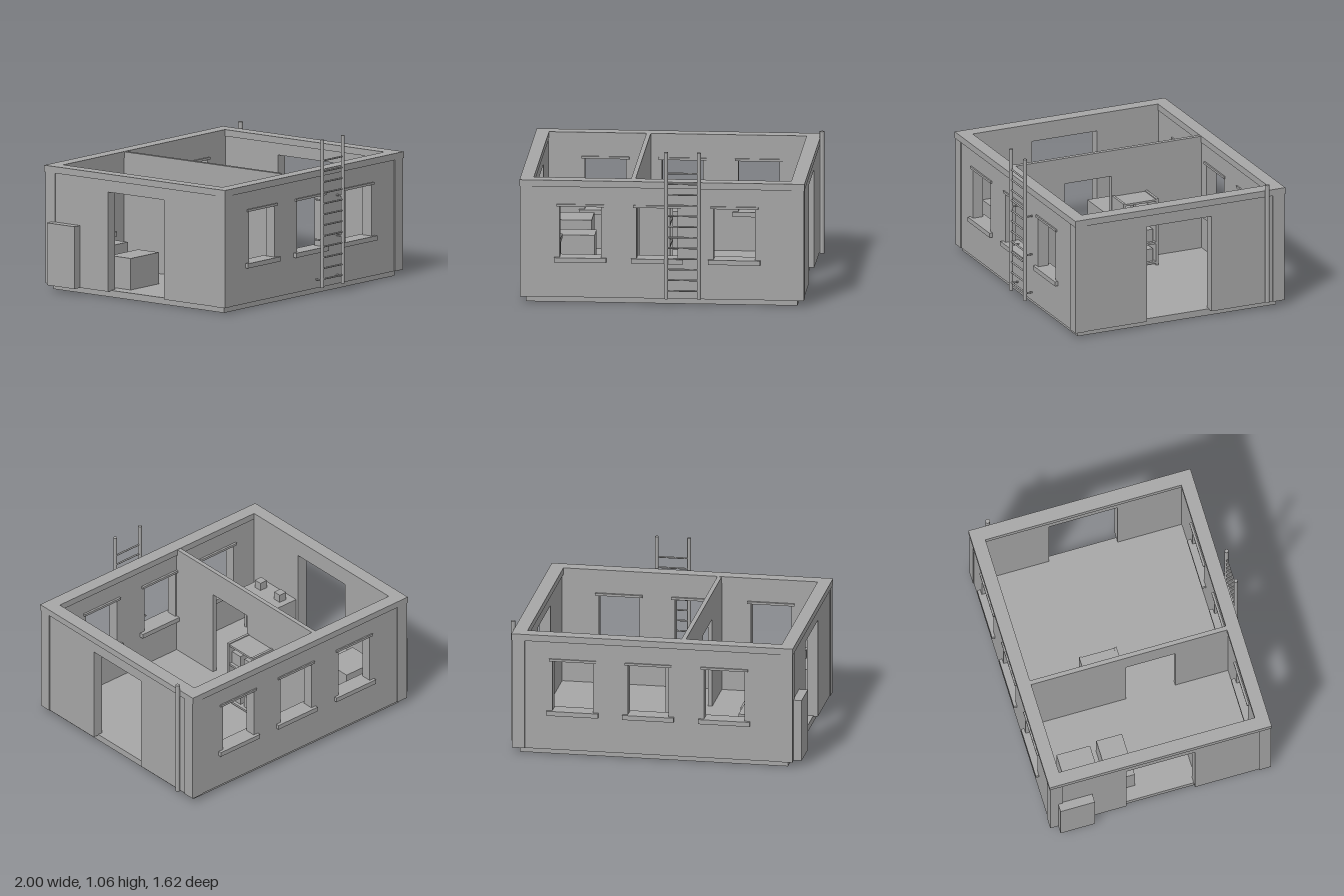
import * as THREE from 'three';

export function createModel() {
  const group = new THREE.Group();
  const grey = new THREE.MeshStandardMaterial({ color: 0xa6a6a6 });
  grey.name = 'plain grey';

  function add(name, geometry, parent = group) {
    const m = new THREE.Mesh(geometry, grey);
    m.name = name;
    parent.add(m);
    return m;
  }
  // box given by its limits on each axis
  function box(name, x0, x1, y0, y1, z0, z1, parent = group) {
    const m = add(name, new THREE.BoxGeometry(x1 - x0, y1 - y0, z1 - z0), parent);
    m.position.set((x0 + x1) / 2, (y0 + y1) / 2, (z0 + z1) / 2);
    return m;
  }
  function rod(name, r, length, x, y, z, axis, parent = group) {
    const g = new THREE.CylinderGeometry(r, r, length, 16);
    if (axis === 'x') g.rotateZ(Math.PI / 2);
    if (axis === 'z') g.rotateX(Math.PI / 2);
    const m = add(name, g, parent);
    m.position.set(x, y, z);
    return m;
  }
  // flat wall with an optional door notch and window holes
  function wall(name, a, b, top, depth, door, windows = []) {
    const s = new THREE.Shape();
    s.moveTo(a, 0.04);
    if (door) {
      s.lineTo(door[0], 0.04); s.lineTo(door[0], door[2]);
      s.lineTo(door[1], door[2]); s.lineTo(door[1], 0.04);
    }
    s.lineTo(b, 0.04); s.lineTo(b, top); s.lineTo(a, top);
    s.closePath();
    for (const x of windows) {
      const h = new THREE.Path();
      h.moveTo(x, 0.31); h.lineTo(x, 0.667); h.lineTo(x + 0.277, 0.667); h.lineTo(x + 0.277, 0.31);
      h.closePath();
      s.holes.push(h);
    }
    return add(name, new THREE.ExtrudeGeometry(s, { depth, bevelEnabled: false }));
  }

  // base and floor
  box('baseSlab', -0.91, 0.92, 0, 0.045, -0.755, 0.715);

  // outer walls, slightly recessed between posts and top band
  const frontWindows = [-0.68, -0.162, 0.358], backWindows = [-0.62, -0.1, 0.415];
  wall('frontWall', -0.9, 0.92, 0.81, 0.075, null, frontWindows).position.z = 0.67;
  wall('backWall', -0.9, 0.92, 0.81, 0.075, null, backWindows).position.z = -0.79;
  for (const [name, x] of [['leftWall', 0.96], ['rightWall', -0.865]]) {
    const w = wall(name, -0.75, 0.7, 0.81, 0.075, [-0.26, 0.22, 0.72]);
    w.rotation.y = -Math.PI / 2;
    w.position.x = x;
  }

  // corner posts
  for (const [x0, x1] of [[-0.946, -0.865], [0.88, 0.966]])
    for (const [z0, z1] of [[-0.796, -0.712], [0.668, 0.751]])
      box('cornerPost', x0, x1, 0.04, 0.8, z0, z1);

  // top band
  const ring = new THREE.Shape([[-0.95, -0.755], [0.97, -0.755], [0.97, 0.802], [-0.95, 0.802]]
    .map(p => new THREE.Vector2(...p)));
  ring.holes.push(new THREE.Path([[-0.86, -0.663], [-0.86, 0.71], [0.875, 0.71], [0.875, -0.663]]
    .map(p => new THREE.Vector2(...p))));
  const band = add('topBand', new THREE.ExtrudeGeometry(ring, { depth: 0.045, bevelEnabled: false }));
  band.rotation.x = -Math.PI / 2;
  band.position.y = 0.8;

  // partition with a doorway
  const partition = wall('partitionWall', -0.714, 0.67, 0.843, 0.03, [-0.045, 0.3, 0.66]);
  partition.rotation.y = -Math.PI / 2;
  partition.position.x = -0.175;

  // sills and lintels, inside and outside
  for (const [xs, z0, z1] of [[frontWindows, 0.655, 0.755], [backWindows, -0.8, -0.705]])
    for (const x of xs) {
      box('windowSill', x - 0.037, x + 0.314, 0.282, 0.314, z0 - 0.012, z1 + 0.012);
      box('windowLintel', x - 0.022, x + 0.3, 0.664, 0.68, z0, z1);
    }

  // ladder
  const ladder = new THREE.Group();
  ladder.name = 'ladder';
  group.add(ladder);
  for (const x of [0.041, 0.262]) {
    rod('ladderRail', 0.013, 1.01, x, 0.555, 0.798, 'y', ladder);
    for (const y of [0.1, 0.372, 0.646]) rod('ladderBracket', 0.006, 0.06, x, y, 0.768, 'z', ladder);
  }
  for (let i = 0; i < 12; i++) rod('ladderRung', 0.006, 0.22, 0.151, 0.107 + 0.0735 * i, 0.798, 'x', ladder);

  // outside pipe and cabinet
  rod('pipe', 0.016, 0.84, 0.983, 0.47, -0.662, 'y');
  box('wallCabinet', -1, -0.94, 0.04, 0.465, -0.74, -0.5);

  // shelf unit with boxes
  const shelf = new THREE.Group();
  shelf.name = 'shelfUnit';
  group.add(shelf);
  for (const z of [-0.312, -0.068]) box('shelfSide', -0.175, 0.005, 0.045, 0.52, z, z + 0.018, shelf);
  box('shelfBack', -0.175, -0.165, 0.045, 0.5, -0.3, -0.06, shelf);
  box('shelfTop', -0.175, 0.002, 0.5, 0.514, -0.3, -0.06, shelf);
  for (const y of [0.07, 0.21, 0.363]) {
    box('shelfBoard', -0.175, 0.002, y - 0.014, y, -0.3, -0.06, shelf);
    for (const z of [-0.157, -0.282]) box('storageBox', -0.14, -0.02, y, y + 0.087, z, z + 0.087, shelf);
  }

  // workbench with two small boxes
  box('benchTop', -0.865, -0.7, 0.33, 0.36, 0.24, 0.59);
  for (const z of [0.24, 0.57]) box('benchSide', -0.865, -0.71, 0.045, 0.33, z, z + 0.02);
  for (const z of [0.285, 0.482]) box('benchBox', -0.815, -0.758, 0.36, 0.417, z, z + 0.057);

  // low chests
  box('largeChest', -0.81, -0.55, 0.045, 0.31, -0.635, -0.4);
  box('smallChest', -0.815, -0.512, 0.045, 0.26, -0.345, -0.165);

  return group;
}
